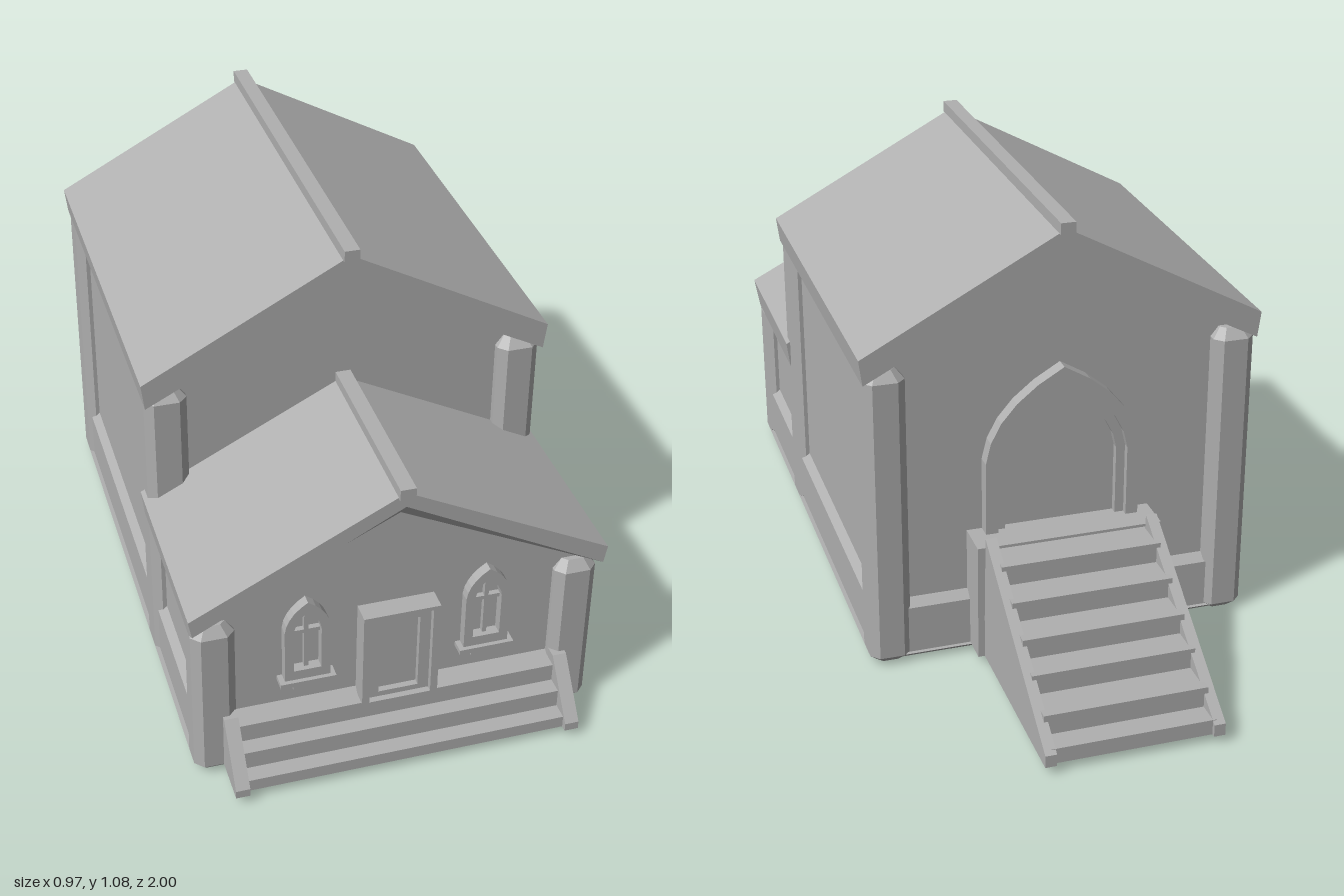
import * as THREE from 'three';

const stone = new THREE.MeshStandardMaterial({ color: 0xb0b0b0 });
stone.name = 'grey stone';

// Closed solid through convex rings of [x, y, z], counter-clockwise seen from the far end
function loft(rings) {
  const n = rings[0].length, pos = [];
  const tri = (a, b, c) => pos.push(...a, ...b, ...c);
  for (let i = 0; i + 1 < rings.length; i++) {
    for (let j = 0; j < n; j++) {
      const k = (j + 1) % n, p = rings[i], q = rings[i + 1];
      tri(p[j], p[k], q[k]);
      tri(p[j], q[k], q[j]);
    }
  }
  const first = rings[0], last = rings[rings.length - 1];
  for (let j = 1; j + 1 < n; j++) {
    tri(first[0], first[j + 1], first[j]);
    tri(last[0], last[j], last[j + 1]);
  }
  const g = new THREE.BufferGeometry();
  g.setAttribute('position', new THREE.Float32BufferAttribute(pos, 3));
  g.computeVertexNormals();
  return g;
}

// Rectangle with cut corners, lying flat at height y
function cutRect(cx, cz, hx, hz, cut, y) {
  return [[hx, cut - hz], [hx, hz - cut], [hx - cut, hz], [cut - hx, hz],
    [-hx, hz - cut], [-hx, cut - hz], [cut - hx, -hz], [hx - cut, -hz]]
    .map(([x, z]) => [cx + x, y, cz - z]);
}

// Pointed arch outline
function arch(Type, cx, hw, y0, spring, top) {
  const s = new Type(), mid = spring + (top - spring) * 0.6;
  s.moveTo(cx - hw, y0);
  s.lineTo(cx + hw, y0);
  s.lineTo(cx + hw, spring);
  s.quadraticCurveTo(cx + hw * 0.92, mid, cx, top);
  s.quadraticCurveTo(cx - hw * 0.92, mid, cx - hw, spring);
  s.closePath();
  return s;
}

const polygon = (pts) => new THREE.Shape(pts.map(([x, y]) => new THREE.Vector2(x, y)));

export function createModel() {
  const model = new THREE.Group();
  const add = (name, geometry) => {
    const m = new THREE.Mesh(geometry, stone);
    m.name = name;
    model.add(m);
    return m;
  };
  const box = (name, x0, x1, y0, y1, z0, z1) =>
    add(name, new THREE.BoxGeometry(x1 - x0, y1 - y0, z1 - z0)
      .translate((x0 + x1) / 2, (y0 + y1) / 2, (z0 + z1) / 2));
  const extrude = (name, shape, z0, z1) =>
    add(name, new THREE.ExtrudeGeometry(shape, { depth: z1 - z0, bevelEnabled: false, curveSegments: 5 })
      .translate(0, 0, z0));
  // Profile in (z, y), extruded across x
  const sidePlate = (name, pts, x0, x1) =>
    add(name, new THREE.ExtrudeGeometry(polygon(pts), { depth: x1 - x0, bevelEnabled: false })
      .rotateY(-Math.PI / 2).translate(x1, 0, 0));
  const archFrame = (name, cx, outer, inner, z0, z1) => {
    const s = arch(THREE.Shape, cx, ...outer);
    s.holes.push(arch(THREE.Path, cx, ...inner));
    extrude(name, s, z0, z1);
  };

  // Foundation slab and sloped base moulding
  const slab = (y, d) => cutRect(0, 0.205, 0.475 - d, 0.68 - d, 0.03, y);
  add('foundation', loft([slab(0, 0.025), slab(0.02, 0)]));
  const plinth = (y, d) => cutRect(0, 0.205, 0.465 - d, 0.67 - d, 0.005, y);
  add('baseMoulding', loft([plinth(0.02, 0), plinth(0.14, 0), plinth(0.157, 0.02)]));

  // Gabled walls
  const gable = (eave, apex) => polygon([[-0.445, 0.02], [0.445, 0.02], [0.445, eave], [0, apex], [-0.445, eave]]);
  extrude('hallWalls', gable(0.775, 1.01), -0.44, 0.44);
  extrude('porchWalls', gable(0.435, 0.67), 0.43, 0.86);

  // Roof halves, as sections [z, underside apex, underside eave, top apex, top eave]
  const roof = (name, sections) => {
    for (const s of [1, -1]) {
      const rings = sections.map(([z, ua, ue, ta, te]) => {
        const r = [[0, ua, z], [s * 0.477, ue, z], [s * 0.485, te, z], [0, ta, z]];
        return s > 0 ? r : r.reverse();
      });
      add(name, loft(rings));
    }
  };
  roof('hallRoof', [[-0.48, 0.99, 0.742, 1.065, 0.805], [0.485, 0.99, 0.742, 1.065, 0.805]]);
  roof('porchRoof', [[0.42, 0.64, 0.403, 0.717, 0.468], [0.87, 0.64, 0.403, 0.717, 0.468],
    [0.905, 0.68, 0.425, 0.717, 0.468]]);
  box('hallRidge', -0.018, 0.018, 1.055, 1.083, -0.49, 0.495);
  box('porchRidge', -0.018, 0.018, 0.705, 0.733, 0.43, 0.915);

  // Corner posts with tapered ends
  for (const s of [1, -1]) {
    for (const [z, hz, top] of [[0.845, 0.045, 0.42], [0.423, 0.052, 0.765], [-0.428, 0.052, 0.765]]) {
      const ring = (y, k) => cutRect(s * 0.425, z, 0.05 * k, hz * k, 0.02 * k, y);
      add('cornerPost', loft([ring(0.002, 0.6), ring(0.022, 1), ring(top - 0.025, 1), ring(top, 0.6)]));
    }
  }

  // Front door
  const frame = polygon([[-0.09, 0.14], [0.09, 0.14], [0.09, 0.39], [-0.09, 0.39]]);
  frame.holes.push(polygon([[-0.073, 0.141], [0.073, 0.141], [0.073, 0.38], [-0.073, 0.38]]));
  extrude('doorFrame', frame, 0.85, 0.91);
  const leaf = polygon([[-0.074, 0.14], [0.074, 0.14], [0.074, 0.381], [-0.074, 0.381]]);
  leaf.holes.push(polygon([[-0.047, 0.155], [0.047, 0.155], [0.047, 0.355], [-0.047, 0.355]]));
  extrude('doorLeaf', leaf, 0.85, 0.895);
  box('doorPanel', -0.048, 0.048, 0.15, 0.36, 0.85, 0.88);

  // Front windows
  for (const s of [1, -1]) {
    const x = s * 0.212;
    archFrame('windowFrame', x, [0.053, 0.225, 0.37, 0.447], [0.032, 0.255, 0.365, 0.42], 0.85, 0.885);
    box('windowMullion', x - 0.005, x + 0.005, 0.25, 0.42, 0.85, 0.873);
    box('windowBar', x - 0.034, x + 0.034, 0.352, 0.362, 0.85, 0.873);
    box('windowSill', x - 0.065, x + 0.065, 0.218, 0.23, 0.85, 0.895);
    box('sillBracket', x - 0.033, x + 0.033, 0.2, 0.218, 0.85, 0.885);
  }

  // Front steps and cheeks
  box('frontStep', -0.38, 0.38, 0.02, 0.05, 0.85, 0.985);
  box('frontStep', -0.38, 0.38, 0.05, 0.095, 0.85, 0.945);
  box('frontStep', -0.38, 0.38, 0.095, 0.14, 0.85, 0.905);
  const cheek = [[0.86, 0.02], [1, 0.02], [1, 0.04], [0.9, 0.165], [0.86, 0.165]];
  sidePlate('frontStepCheek', cheek, 0.377, 0.41);
  sidePlate('frontStepCheek', cheek, -0.41, -0.377);

  // Arched rear doorway
  archFrame('rearArch', 0, [0.19, 0.29, 0.5, 0.725], [0.16, 0.291, 0.495, 0.685], -0.475, -0.43);
  archFrame('rearArchInner', 0, [0.161, 0.29, 0.495, 0.686], [0.138, 0.31, 0.49, 0.655], -0.458, -0.43);

  // Rear landing and stairs
  box('rearLanding', -0.228, 0.228, 0.02, 0.315, -0.535, -0.44);
  const treads = [-0.99, -0.935, -0.85, -0.78, -0.7, -0.62, -0.535];
  for (let i = 0; i < 6; i++) {
    const top = 0.058 + i * 0.05;
    box('rearStep', -0.195, 0.195, 0.02, top, treads[i], i < 5 ? treads[i + 1] + 0.01 : -0.53);
  }
  const stringer = [[-1, 0.02], [-0.53, 0.02], [-0.545, 0.345], [-1, 0.05]];
  sidePlate('rearStringer', stringer, 0.185, 0.212);
  sidePlate('rearStringer', stringer, -0.212, -0.185);

  return model;
}
